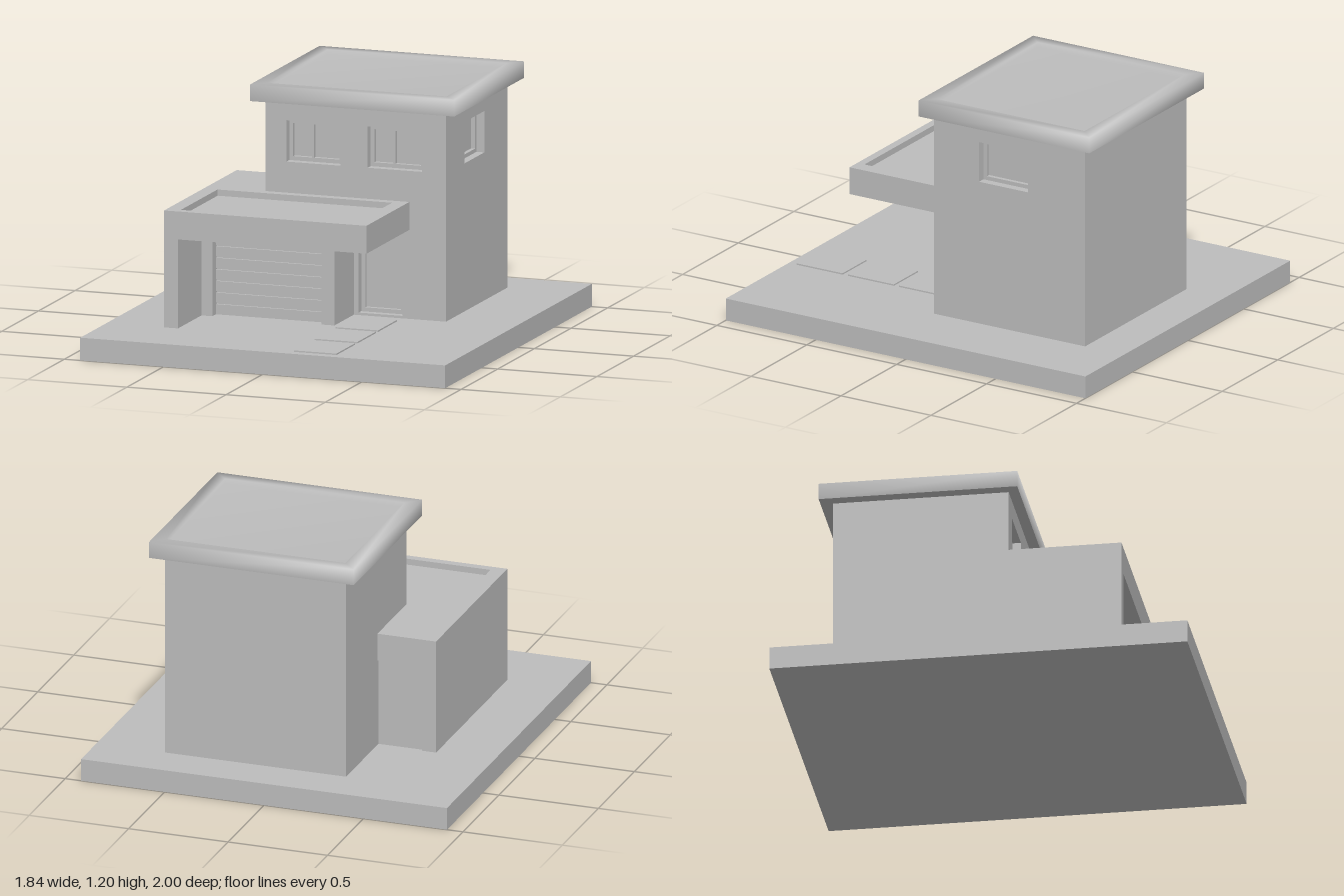
import * as THREE from 'three';

const clay = new THREE.MeshStandardMaterial({ color: 0xbcbcbc });
clay.name = 'light grey';

export function createModel() {
  const model = new THREE.Group();
  model.name = 'house';

  const add = (name, geometry, parent = model) => {
    const mesh = new THREE.Mesh(geometry, clay);
    mesh.name = name;
    parent.add(mesh);
    return mesh;
  };
  // Box given by its limits on each axis
  const box = (name, x0, x1, y0, y1, z0, z1, parent) =>
    add(name, new THREE.BoxGeometry(x1 - x0, y1 - y0, z1 - z0)
      .translate((x0 + x1) / 2, (y0 + y1) / 2, (z0 + z1) / 2), parent);
  const trace = (path, points) => {
    points.forEach(([x, y], i) => (i ? path.lineTo(x, y) : path.moveTo(x, y)));
    path.closePath();
    return path;
  };
  const rect = ([x0, x1, y0, y1]) => [[x0, y0], [x1, y0], [x1, y1], [x0, y1]];
  // Flat slab with rectangular openings
  const slab = (outline, holes, depth) => {
    const shape = trace(new THREE.Shape(), outline);
    holes.forEach((h) => shape.holes.push(trace(new THREE.Path(), rect(h).reverse())));
    return new THREE.ExtrudeGeometry(shape, { depth, bevelEnabled: false });
  };
  const inset = ([a, b, c, d], t) => [a + t, b - t, c + t, d - t];

  // Ground slab and stepping stones
  box('groundSlab', -0.92, 0.92, 0, 0.11, -1, 1);
  [0.13, 0.415, 0.7].forEach((z) => box('steppingStone', 0.14, 0.355, 0.105, 0.117, z, z + 0.255));

  // Tower: solid core with pierced front and side walls
  const windows = [[-0.23, 0.043, 0.825, 1.025], [0.18, 0.453, 0.825, 1.025]];
  const door = [0.135, 0.355, 0.122, 0.517];
  const sideWindow = [0.195, 0.467, 0.825, 1.025]; // measured along -z
  box('towerCore', -0.335, 0.515, 0.11, 1.12, -0.785, -0.005);
  add('towerFrontWall', slab(rect([-0.335, 0.575, 0.11, 1.12]), [...windows, door], 0.06)
    .translate(0, 0, -0.005));
  add('towerSideWall', slab(rect([0.005, 0.785, 0.11, 1.12]), [sideWindow], 0.06)
    .rotateY(Math.PI / 2).translate(0.515, 0, 0));

  // Window and door frames set back in their openings
  windows.forEach((w) => {
    const group = new THREE.Group();
    group.name = 'frontWindow';
    model.add(group);
    add('windowFrame', slab(rect(w), [inset(w, 0.02)], 0.02).translate(0, 0, -0.005), group);
    const middle = w[0] + 0.12;
    box('windowMullion', middle - 0.005, middle + 0.005, w[2] + 0.02, w[3] - 0.02, -0.005, 0.015, group);
  });
  add('sideWindowFrame', slab(rect(sideWindow), [inset(sideWindow, 0.019)], 0.02)
    .rotateY(Math.PI / 2).translate(0.515, 0, 0));
  add('doorFrame', slab(rect(door), [inset(door, 0.02)], 0.025).translate(0, 0, -0.005));
  box('doorPanel', 0.157, 0.333, 0.144, 0.495, -0.005, 0.008);

  // Tower roof: softly shaded tray made from square loops
  const loops = [
    [-0.395, 0.635, -0.845, 0.105, 1.115],
    [-0.395, 0.635, -0.845, 0.105, 1.195],
    [-0.33, 0.572, -0.78, 0.04, 1.195],
    [-0.33, 0.572, -0.78, 0.04, 1.17],
  ];
  const points = [];
  const faces = [];
  loops.forEach(([x0, x1, z0, z1, y], k) => {
    points.push(x0, y, z1, x1, y, z1, x1, y, z0, x0, y, z0);
    if (k === 0) return;
    for (let i = 0; i < 4; i++) {
      const a = (k - 1) * 4 + i, b = (k - 1) * 4 + ((i + 1) % 4);
      faces.push(a, b, b + 4, a, b + 4, a + 4);
    }
  });
  faces.push(12, 13, 14, 12, 14, 15);
  const tray = new THREE.BufferGeometry();
  tray.setAttribute('position', new THREE.Float32BufferAttribute(points, 3));
  tray.setIndex(faces);
  tray.computeVertexNormals();
  add('towerRoof', tray);
  add('towerRoofUnderside', new THREE.PlaneGeometry(1.03, 0.95)
    .rotateX(Math.PI / 2).translate(0.12, 1.115, -0.37));

  // Garage roof: L-shaped slab with a sunken top, plus the long left wall
  const plan = [[-0.63, -0.64], [0.39, -0.64], [0.39, -0.05], [-0.33, -0.05], [-0.33, 0.35], [-0.63, 0.35]];
  const flat = (geometry, y) => geometry.rotateX(-Math.PI / 2).translate(0, y, 0);
  add('garageRoof', flat(slab(plan, [], 0.105), 0.54));
  add('garageParapet', flat(slab(plan, [[-0.56, 0.32, -0.6, -0.1]], 0.03), 0.645));
  box('garageLeftWall', -0.63, -0.56, 0.11, 0.54, -0.35, 0.64);

  // Garage body with a recessed slatted door
  box('garageBody', -0.56, 0.11, 0.11, 0.54, -0.337, 0.26);
  const opening = [[-0.56, 0.11], [-0.505, 0.11], [-0.505, 0.502], [0.045, 0.502],
    [0.045, 0.11], [0.11, 0.11], [0.11, 0.54], [-0.56, 0.54]];
  add('garageFrontWall', slab(opening, [], 0.06).translate(0, 0, 0.26));
  for (let i = 0; i < 7; i++) {
    const y = 0.11 + i * 0.056;
    box('garageDoorSlat', -0.505, 0.045, y, y + 0.049, 0.255, 0.272);
  }
  return model;
}
